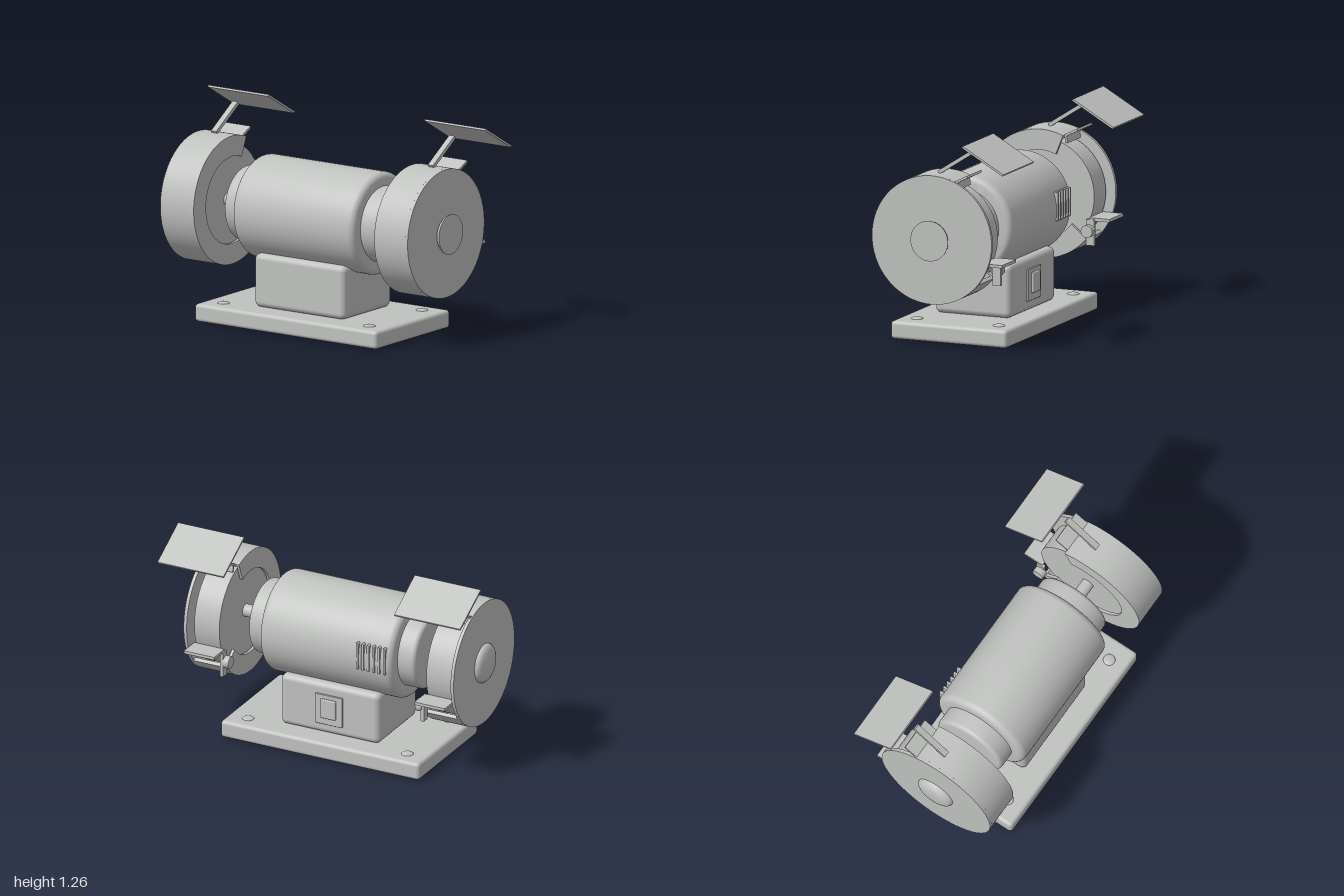
import * as THREE from 'three';
import { RoundedBoxGeometry } from 'three/addons/geometries/RoundedBoxGeometry.js';
import { toCreasedNormals } from 'three/addons/utils/BufferGeometryUtils.js';

const AXIS_Y = 0.66, AXIS_Z = 0.062;
const rad = THREE.MathUtils.degToRad;

export function createModel() {
  const model = new THREE.Group();
  model.name = 'benchGrinder';
  const grey = new THREE.MeshStandardMaterial({ color: 0xc0c2c0 });
  grey.name = 'castGrey';

  function add(name, geometry, x = 0, y = 0, z = 0) {
    const mesh = new THREE.Mesh(geometry, grey);
    mesh.name = name;
    mesh.position.set(x, y, z);
    model.add(mesh);
    return mesh;
  }
  const box = (name, w, h, d, x, y, z, r) =>
    add(name, r ? new RoundedBoxGeometry(w, h, d, 4, r) : new THREE.BoxGeometry(w, h, d), x, y, z);

  // Cylinder lying along x
  const rod = (name, r, length, x, y = AXIS_Y, z = AXIS_Z, sides = 48) =>
    add(name, new THREE.CylinderGeometry(r, r, length, sides).rotateZ(Math.PI / 2), x, y, z);

  // Drum along x with rounded rims
  function drum(name, r, half, bevel) {
    const pts = [new THREE.Vector2(0, -half)];
    for (const side of [-1, 1]) {
      for (let i = 0; i <= 6; i++) {
        const a = (side < 0 ? i : 6 - i) / 6 * Math.PI / 2;
        pts.push(new THREE.Vector2(r - bevel + bevel * Math.sin(a), side * (half - bevel + bevel * Math.cos(a))));
      }
    }
    pts.push(new THREE.Vector2(0, half));
    const g = new THREE.LatheGeometry(pts, 72).rotateZ(-Math.PI / 2);
    add(name, toCreasedNormals(g, 0.5), 0, AXIS_Y, AXIS_Z);
  }

  // Flat bar between two [z, y] points
  function bar(name, x, from, to, width, thick) {
    const dz = to[0] - from[0], dy = to[1] - from[1];
    const m = box(name, width, thick, Math.hypot(dz, dy), x, (from[1] + to[1]) / 2, (from[0] + to[0]) / 2);
    m.rotation.x = Math.atan2(dy, -dz);
  }

  // Guard ring from inner to outer radius, open over the working side
  function guardRing(name, outer, inner, x0, x1) {
    const a = rad(68), b = rad(320);
    const s = new THREE.Shape();
    s.absarc(0, 0, outer, a, b, false);
    s.absarc(0, 0, inner, b, a, true);
    s.closePath();
    const g = new THREE.ExtrudeGeometry(s, { depth: x1 - x0, bevelEnabled: false, curveSegments: 64 });
    add(name, toCreasedNormals(g.rotateY(Math.PI / 2), 0.5), x0, AXIS_Y, AXIS_Z);
  }

  // Base, pedestal and motor
  box('basePlate', 1.31, 0.107, 0.745, 0, 0.0535, AXIS_Z, 0.022);
  box('pedestal', 0.65, 0.32, 0.485, 0, 0.267, 0.058, 0.035);
  drum('motorBody', 0.305, 0.437, 0.04);
  drum('motorEndBells', 0.225, 0.55, 0.025);
  rod('shaft', 0.038, 1.7, 0);

  // Base bolts with shallow domed heads
  for (const x of [-0.525, 0.525]) {
    for (const z of [-0.205, 0.32]) {
      const dome = new THREE.SphereGeometry(0.036, 32, 8, 0, Math.PI * 2, 0, Math.PI / 2).scale(1, 0.32, 1);
      add('baseBolt', dome, x, 0.106, z);
    }
  }

  // Power switch
  box('switchPlate', 0.18, 0.19, 0.02, 0, 0.265, -0.186, 0.004);
  box('switchRocker', 0.1, 0.12, 0.03, 0, 0.275, -0.196, 0.006);

  // Vent ribs on the motor
  for (let i = 0; i < 6; i++) {
    box('ventRib', 0.016, 0.17, 0.03, -0.392 + i * 0.0355, 0.685, -0.235, 0.005);
  }

  // Domed end cap, facing -x
  const capProfile = [[0, 0], [0.12, 0], [0.118, 0.01], [0.107, 0.024], [0.088, 0.034], [0.05, 0.04], [0, 0.041]]
    .map(([r, y]) => new THREE.Vector2(r, y));
  const cap = toCreasedNormals(new THREE.LatheGeometry(capProfile, 48).rotateZ(Math.PI / 2), 0.7);
  add('rightEndCap', cap, -0.889, AXIS_Y, AXIS_Z);
  add('leftEndCap', cap, 0.926, AXIS_Y, AXIS_Z);

  // Wheel, guard, rest and eye shield on each side
  for (const s of [-1, 1]) {
    const span = (a, b) => (s > 0 ? [a, b] : [-b, -a]);
    rod('grindingWheel', 0.33, 0.165, s * 0.765, AXIS_Y, AXIS_Z, 72);
    rod('guardOuterPlate', 0.383, 0.02, s * 0.88, AXIS_Y, AXIS_Z, 96);
    guardRing('guardRim', 0.383, 0.36, ...span(0.668, 0.871));
    guardRing('guardInnerPlate', 0.383, 0.26, ...span(0.65, 0.668));

    // Tool rest with bracket and knob
    box('toolRest', 0.2, 0.018, 0.13, s * 0.76, 0.53, -0.31);
    box('toolRestBracket', 0.02, 0.155, 0.05, s * 0.662, 0.4525, -0.255);
    rod('toolRestKnob', 0.037, 0.04, s * 0.636, 0.463, -0.248, 24);

    // Spark deflector
    bar('sparkDeflector', s * 0.78, [-0.07, 1.005], [-0.163, 1.052], 0.205, 0.014);
    bar('sparkDeflectorLeg', s * 0.78, [-0.084, 1.015], [-0.09, 0.965], 0.19, 0.012);

    // Eye shield and its arm
    bar('shieldArm', s * 0.78, [0.06, 1.046], [-0.155, 1.185], 0.038, 0.022);
    bar('eyeShield', s * 0.78, [-0.182, 1.252], [-0.442, 1.104], 0.435, 0.012);
  }
  return model;
}
